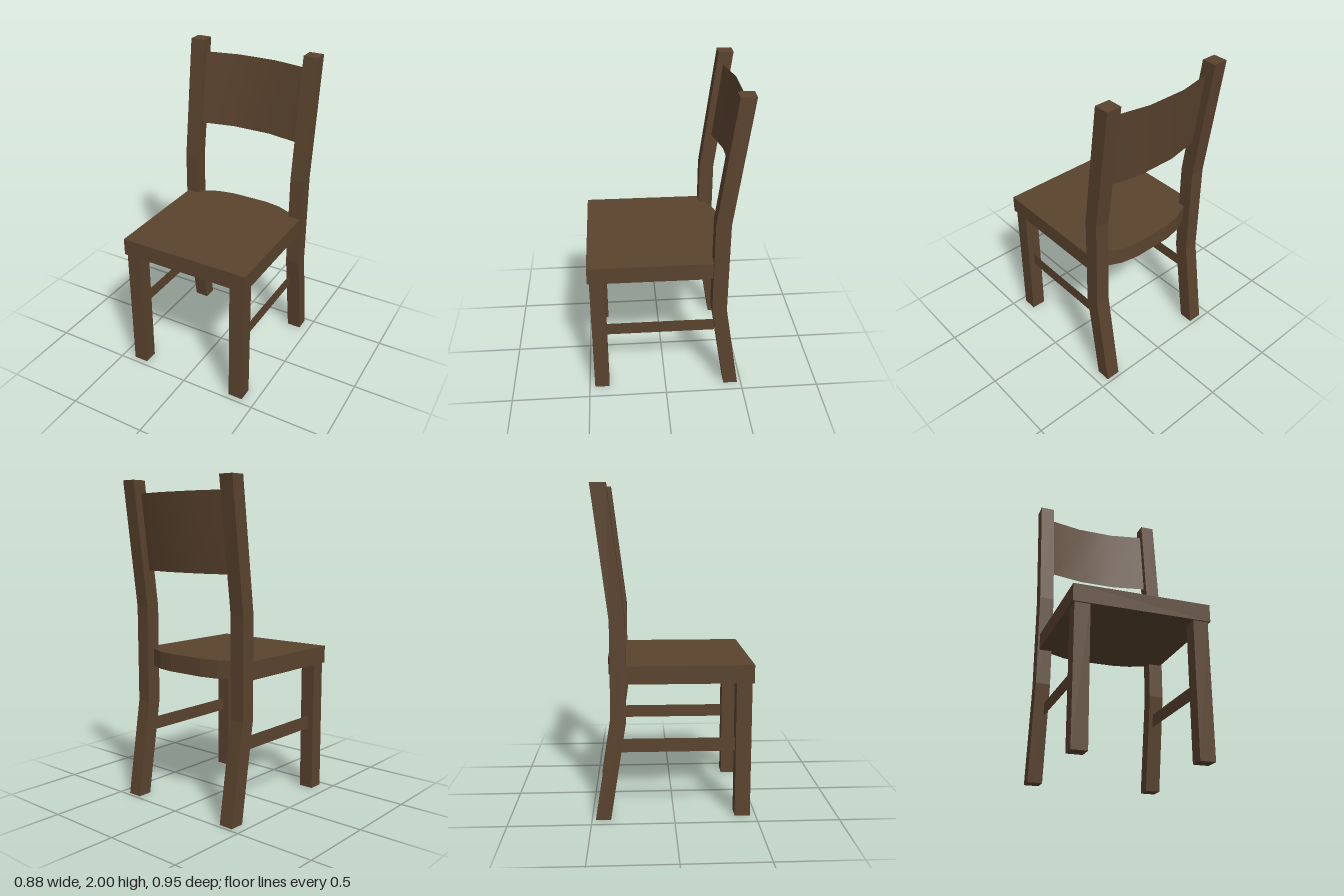
import * as THREE from 'three';

const wood = new THREE.MeshStandardMaterial({ color: 0x5a432e });
wood.name = 'dark wood';
const thinWood = new THREE.MeshStandardMaterial({ color: 0x5a432e, side: THREE.DoubleSide });
thinWood.name = 'dark wood panel';

function add(group, name, geometry, material = wood) {
  const mesh = new THREE.Mesh(geometry, material);
  mesh.name = name;
  group.add(mesh);
  return mesh;
}

function extrude(points, depth) {
  const shape = new THREE.Shape(points.map(([a, b]) => new THREE.Vector2(a, b)));
  return new THREE.ExtrudeGeometry(shape, { depth, bevelEnabled: false });
}

// Bent rear post: side profile (z, y) extruded across x
function postGeometry() {
  const front = [[-0.385, 0], [-0.288, 0.61], [-0.288, 1.22], [-0.385, 2]];
  const back = front.map(([z, y]) => [z - 0.092, y]).reverse();
  const geometry = extrude([...front, ...back].map(([z, y]) => [-z, y]), 0.093);
  return geometry.rotateY(Math.PI / 2).translate(-0.0465, 0, 0);
}

// Tilted thin panel that bows backwards in the middle
function backrestGeometry() {
  const geometry = new THREE.PlaneGeometry(1, 1, 3, 1);
  const columns = [[-0.35, -0.414], [-0.125, -0.459], [0.125, -0.459], [0.35, -0.414]];
  const pos = geometry.attributes.position;
  for (let i = 0; i < pos.count; i++) {
    const [x, z] = columns[i % 4];
    const top = i < 4;
    pos.setXYZ(i, x, top ? 1.92 : 1.45, top ? z : z + 0.056);
  }
  geometry.computeVertexNormals();
  return geometry;
}

export function createModel() {
  const chair = new THREE.Group();
  chair.name = 'chair';

  // Seat outline (x, -z) with a faceted curved back edge
  const seatOutline = [
    [-0.426, -0.476], [0.426, -0.476], [0.426, 0.288], [0.345, 0.33],
    [0.235, 0.38], [0.125, 0.4], [-0.125, 0.4], [-0.235, 0.38], [-0.345, 0.33], [-0.426, 0.288],
  ];
  add(chair, 'seat', extrude(seatOutline, 0.11).rotateX(-Math.PI / 2)).position.y = 0.84;

  add(chair, 'backrest', backrestGeometry(), thinWood);

  // Legs and side rails on both sides
  for (const [side, s] of [['left', 1], ['right', -1]]) {
    add(chair, side + 'RearPost', postGeometry()).position.x = s * 0.391;
    add(chair, side + 'FrontLeg', new THREE.BoxGeometry(0.095, 0.84, 0.094))
      .position.set(s * 0.366, 0.42, 0.418);
    add(chair, side + 'SideRail', new THREE.PlaneGeometry(0.69, 0.085).rotateY(s * Math.PI / 2), thinWood)
      .position.set(s * 0.372, 0.448, 0.028);
  }
  return chair;
}
